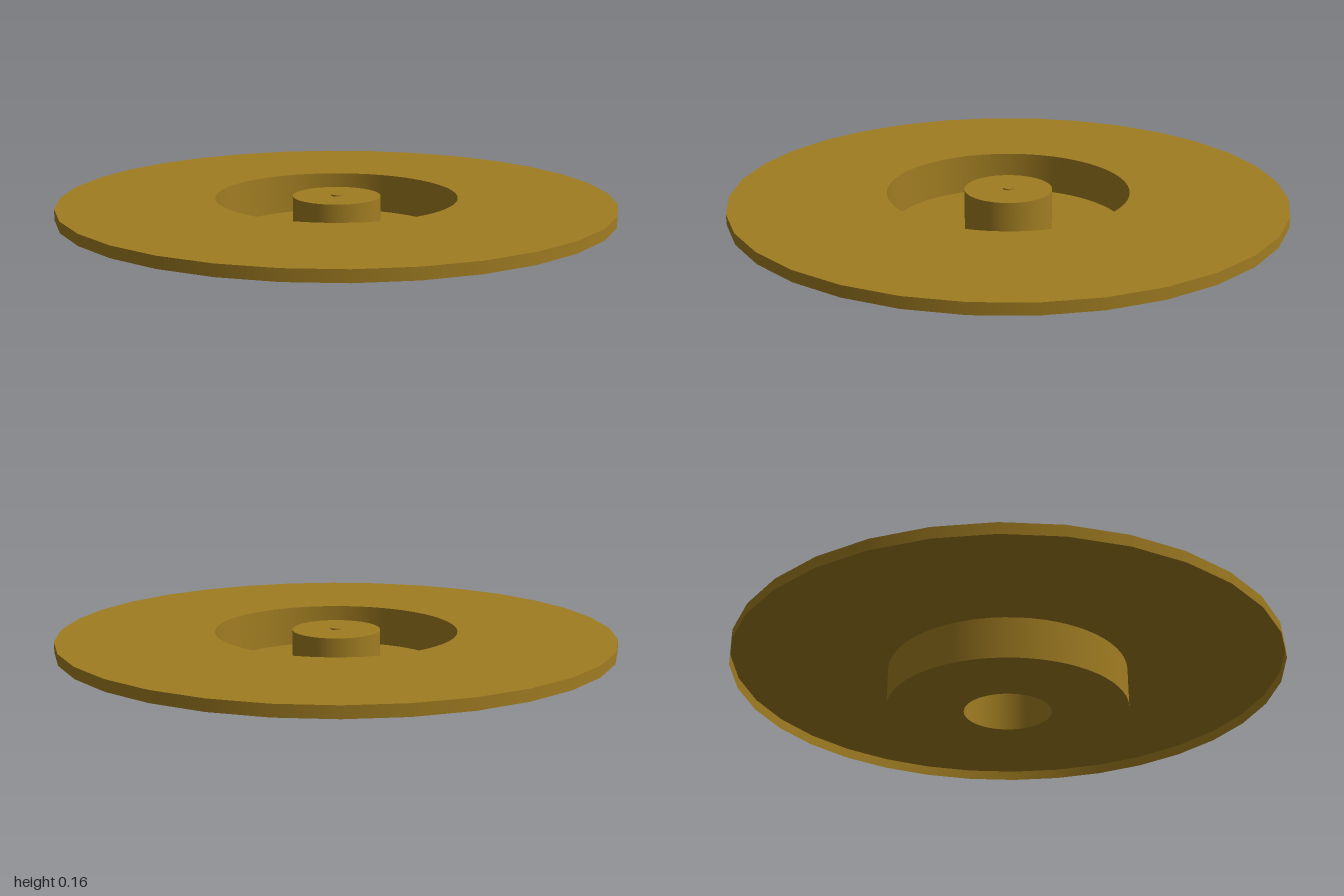
import * as THREE from 'three';

const RIM_SIDES = 32, HUB_SIDES = 64;
const RIM_R = 1, WELL_R = 0.44, POST_R = 0.16, TIP_R = 0.02;
const TOP = 0.15, LIP = 0.11, TIP_TOP = 0.155;

const material = new THREE.MeshStandardMaterial({ color: 0xa17d22, side: THREE.DoubleSide });

// Points of a regular polygon
function circle(radius, sides) {
  return Array.from({ length: sides }, (_, i) => {
    const a = (i / sides) * Math.PI * 2;
    return new THREE.Vector2(Math.cos(a) * radius, Math.sin(a) * radius);
  });
}

export function createModel() {
  const model = new THREE.Group();
  model.name = 'flangedHub';

  const add = (name, geometry) => {
    const mesh = new THREE.Mesh(geometry, material);
    mesh.name = name;
    model.add(mesh);
  };

  // Thin horizontal disc, with a round hole when inner > 0
  const flat = (name, outer, sides, inner, y) => {
    const shape = new THREE.Shape(circle(outer, sides));
    if (inner > 0) shape.holes.push(new THREE.Path(circle(inner, HUB_SIDES)));
    add(name, new THREE.ShapeGeometry(shape).rotateX(-Math.PI / 2).translate(0, y, 0));
  };

  // Thin upright wall
  const wall = (name, radius, sides, y0, y1) => {
    const geometry = new THREE.CylinderGeometry(radius, radius, y1 - y0, sides, 1, true);
    add(name, geometry.translate(0, (y0 + y1) / 2, 0));
  };

  // Wide flange with a turned-down lip, open below
  flat('flange', RIM_R, RIM_SIDES, WELL_R, TOP);
  wall('flangeLip', RIM_R, RIM_SIDES, LIP, TOP);

  // Sunken well, open above
  wall('wellWall', WELL_R, HUB_SIDES, 0, TOP);
  flat('wellFloor', WELL_R, HUB_SIDES, POST_R, 0);

  // Centre post, hollow from below
  wall('postWall', POST_R, HUB_SIDES, 0, TOP);
  flat('postTop', POST_R, HUB_SIDES, TIP_R, TOP);

  // Small raised tip
  wall('tipWall', TIP_R, HUB_SIDES, TOP, TIP_TOP);
  flat('tipTop', TIP_R, HUB_SIDES, 0, TIP_TOP);

  return model;
}
